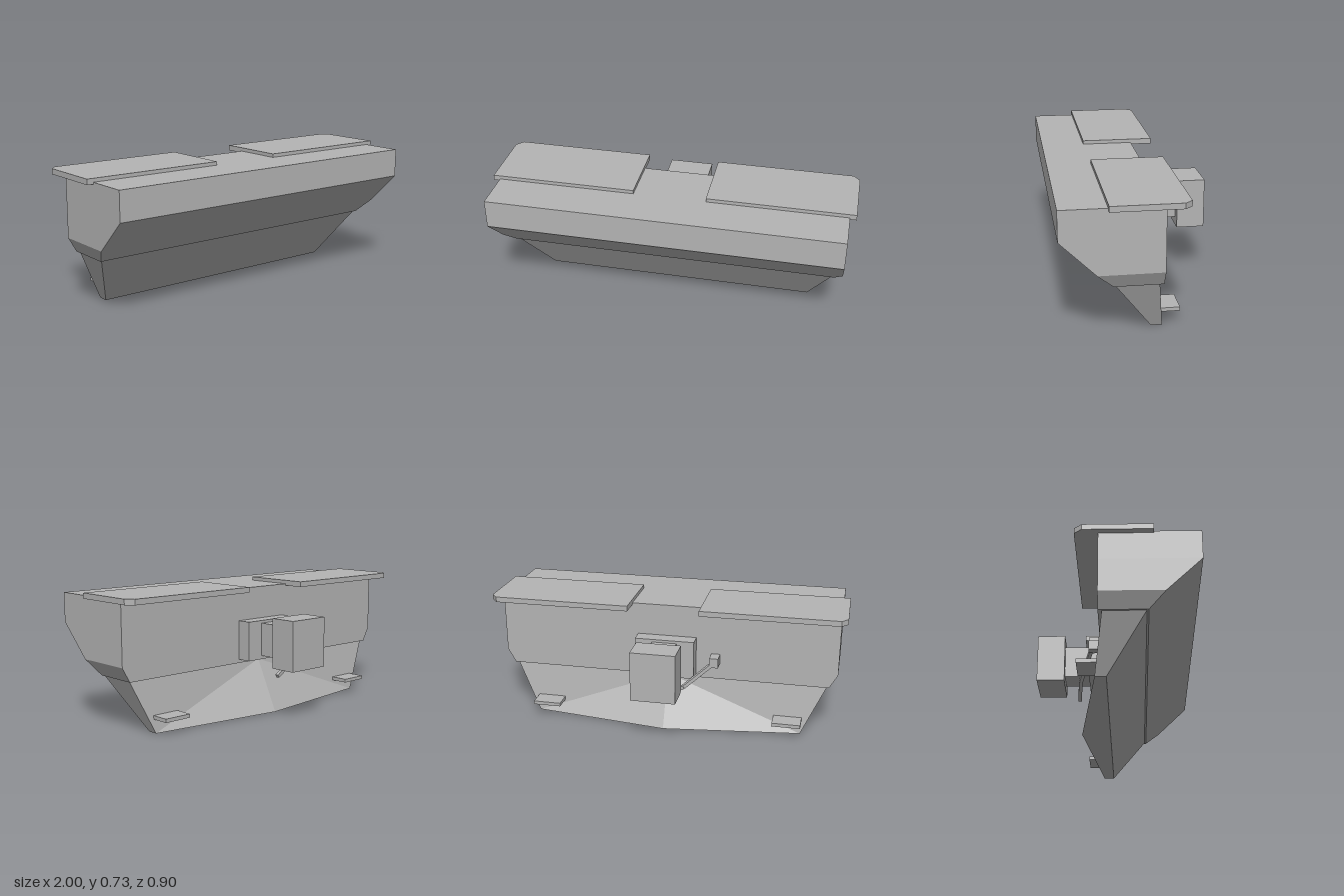
import * as THREE from 'three';

const gray = new THREE.MeshStandardMaterial({ color: 0xb4b4b4 });
gray.name = 'plainGray';

function add(parent, name, geometry) {
  const mesh = new THREE.Mesh(geometry, gray);
  mesh.name = name;
  parent.add(mesh);
  return mesh;
}

// Box given by its limits on each axis
function block(parent, name, [x0, x1], [y0, y1], [z0, z1]) {
  const mesh = add(parent, name, new THREE.BoxGeometry(x1 - x0, y1 - y0, z1 - z0));
  mesh.position.set((x0 + x1) / 2, (y0 + y1) / 2, (z0 + z1) / 2);
  return mesh;
}

// Faceted solid from horizontal loops listed bottom to top, counterclockwise from above.
// The side quad numbered flip is split along its other diagonal.
function loft(levels, flip = -1) {
  const p = [];
  const tri = (a, b, c) => p.push(...a, ...b, ...c);
  const loops = levels.map(({ y, loop }) => loop.map(([x, z]) => [x, y, z]));
  const n = loops[0].length;
  for (let k = 0; k < loops.length - 1; k++) {
    const lo = loops[k], up = loops[k + 1];
    for (let i = 0; i < n; i++) {
      const j = (i + 1) % n;
      if (i === flip) {
        tri(lo[i], lo[j], up[i]);
        tri(lo[j], up[j], up[i]);
      } else {
        tri(lo[i], lo[j], up[j]);
        tri(lo[i], up[j], up[i]);
      }
    }
  }
  const bottom = loops[0], top = loops[loops.length - 1];
  for (let i = 1; i < n - 1; i++) {
    tri(bottom[0], bottom[i + 1], bottom[i]);
    tri(top[0], top[i], top[i + 1]);
  }
  const g = new THREE.BufferGeometry();
  g.setAttribute('position', new THREE.Float32BufferAttribute(p, 3));
  g.computeVertexNormals();
  return g;
}

// Square bar between two points
function bar(parent, name, a, b, size) {
  const from = new THREE.Vector3(...a), to = new THREE.Vector3(...b);
  const mesh = add(parent, name, new THREE.BoxGeometry(size, size, from.distanceTo(to)));
  mesh.position.copy(from).lerp(to, 0.5);
  mesh.lookAt(to);
}

export function createModel() {
  const model = new THREE.Group();
  model.name = 'wedgeHull';

  // Upper hull with sloped front and tapered lower ends
  const rect = (w, front, back) => [[-w, front], [w, front], [w, back], [-w, back]];
  add(model, 'upperHull', loft([
    { y: 0.29, loop: rect(0.92, 0.18, -0.07) },
    { y: 0.37, loop: rect(0.965, 0.265, -0.07) },
    { y: 0.55, loop: rect(0.965, 0.45, -0.07) },
    { y: 0.71, loop: rect(0.965, 0.45, -0.07) },
  ]));

  // Lower wedge, its back bottom edge pulled out to a point in the middle
  const keel = (w, front, back, middle) =>
    [[-w, front], [w, front], [w, back], [0, middle], [-w, back]];
  add(model, 'lowerWedge', loft([
    { y: 0, loop: keel(0.775, -0.03, -0.088, -0.19) },
    { y: 0.29, loop: keel(0.91, 0.17, -0.05, -0.05) },
  ], 3));

  // Top plates with a clipped outer back corner, and small rear steps
  for (const s of [1, -1]) {
    const outline = [[0.2, 0.21], [1, 0.21], [1, -0.15], [0.965, -0.19], [0.2, -0.19]]
      .map(([x, z]) => [s * x, z]);
    if (s < 0) outline.reverse();
    const side = s > 0 ? 'left' : 'right';
    add(model, side + 'TopPlate', loft([{ y: 0.7, loop: outline }, { y: 0.73, loop: outline }]));
    const xs = [s * 0.62, s * 0.78].sort((a, b) => a - b);
    block(model, side + 'Step', xs, [0.075, 0.095], [-0.18, -0.06]);
  }

  // Rear mount: base, neck and head
  const mount = new THREE.Group();
  mount.name = 'rearMount';
  model.add(mount);
  block(mount, 'mountBase', [-0.168, 0.168], [0.31, 0.53], [-0.15, -0.07]);
  block(mount, 'mountNeck', [-0.07, 0.07], [0.33, 0.515], [-0.29, -0.15]);
  block(mount, 'mountHead', [-0.124, 0.124], [0.284, 0.562], [-0.446, -0.29]);

  // Bent arm reaching from a small block to below the neck
  const arm = new THREE.Group();
  arm.name = 'bentArm';
  model.add(arm);
  block(arm, 'armBlock', [-0.305, -0.255], [0.385, 0.44], [-0.145, -0.07]);
  const path = [[-0.28, 0.41, -0.125], [-0.12, 0.278, -0.195], [0, 0.21, -0.206]];
  bar(arm, 'upperArm', path[0], path[1], 0.02);
  bar(arm, 'lowerArm', path[1], path[2], 0.02);

  return model;
}
